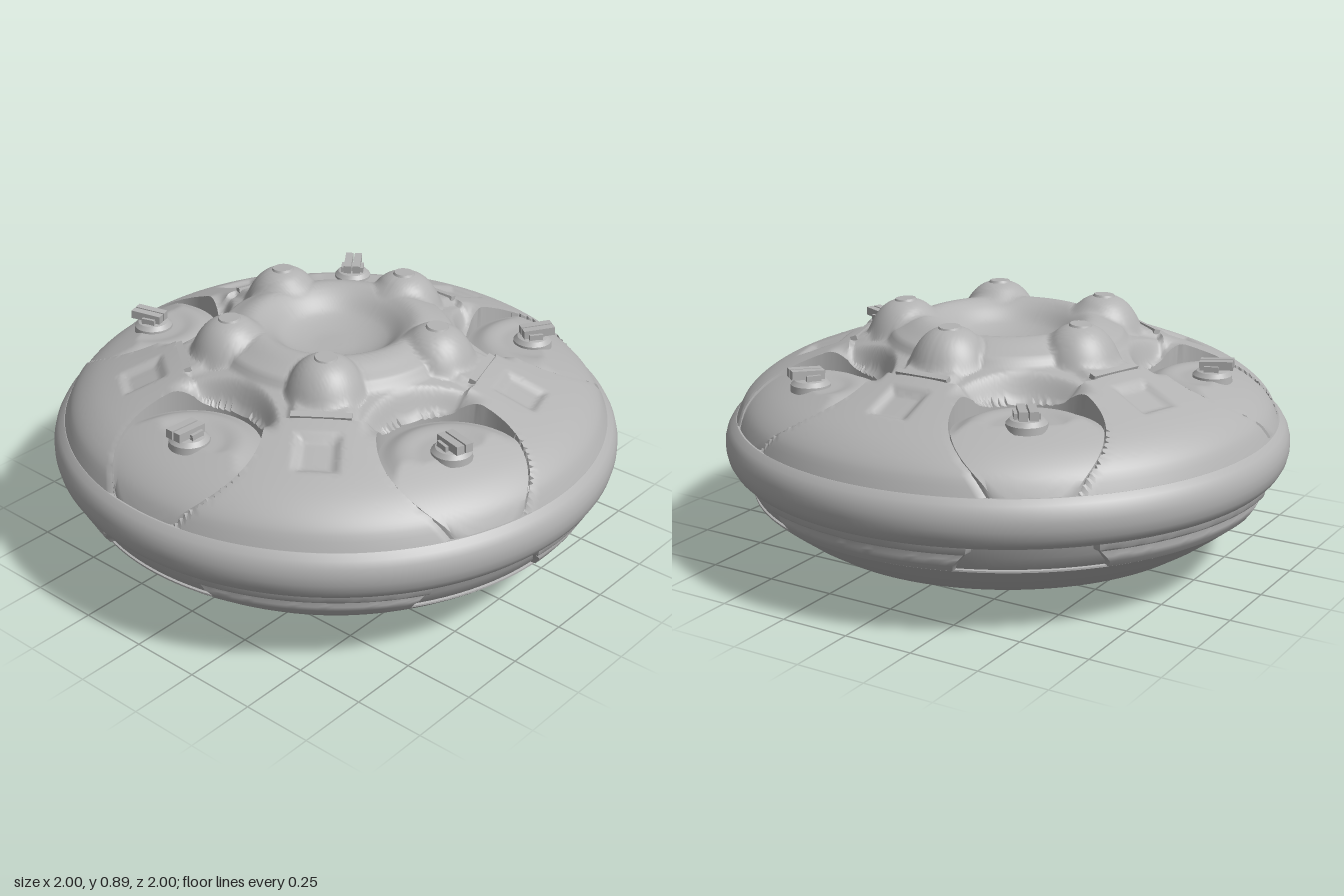
import * as THREE from 'three';
import { toCreasedNormals } from 'three/addons/utils/BufferGeometryUtils.js';

const STEP = Math.PI * 2 / 5;
const POD_R = 0.735, POD_SIZE = 0.248, BUMP_R = 0.37, EDGE_R = 0.958;
const smooth = THREE.MathUtils.smoothstep;
const lerp = THREE.MathUtils.lerp;

// Upper hull height against radius
const PROFILE = [[0, 0.74], [0.1, 0.744], [0.18, 0.768], [0.24, 0.817], [0.28, 0.838], [0.32, 0.835],
  [0.38, 0.808], [0.43, 0.785], [0.54, 0.752], [0.68, 0.70], [0.81, 0.647], [0.88, 0.607], [0.93, 0.56], [0.955, 0.51], [0.965, 0.485]];

function profileHeight(r) {
  const n = PROFILE.length;
  let i = 0;
  while (i < n - 2 && r > PROFILE[i + 1][0]) i++;
  const [x0, y0] = PROFILE[i], [x1, y1] = PROFILE[i + 1];
  const slope = (k) => {
    const a = PROFILE[Math.max(k - 1, 0)], b = PROFILE[Math.min(k + 1, n - 1)];
    return (b[1] - a[1]) / (b[0] - a[0]);
  };
  const h = x1 - x0, t = Math.min((r - x0) / h, 1), t2 = t * t, t3 = t2 * t;
  return (2 * t3 - 3 * t2 + 1) * y0 + (t3 - 2 * t2 + t) * h * slope(i) +
    (3 * t2 - 2 * t3) * y1 + (t3 - t2) * h * slope(i + 1);
}

// Hull surface with bumps, spokes, square dents and pod wells, repeated five times
function hullPoint(r, angle) {
  const a = angle - Math.round(angle / STEP) * STEP;
  const u = r * Math.cos(a), v = Math.abs(r * Math.sin(a));
  let y = profileHeight(r);
  // sunken area between the spokes
  const between = smooth(v, 0.085, 0.12) * smooth(r, 0.40, 0.43) * (1 - smooth(r, 0.545, 0.56));
  y -= 0.022 * between;
  // round bumps, blended softly
  const d = Math.hypot(u - BUMP_R, v);
  const dome = 0.882 - 3 * d * d - 150 * d ** 4;
  const k = THREE.MathUtils.clamp(0.5 + (dome - y) / 0.05, 0, 1);
  if (d < 0.22) y = lerp(y, dome, k) + 0.0125 * k * (1 - k);
  // square dent
  y -= 0.02 * (1 - smooth(Math.max(Math.abs(u - 0.68), v), 0.045, 0.082));
  // crescent slope on the inner side of the pod
  const mid = Math.floor(angle / STEP) * STEP + STEP / 2;
  const cx = POD_R * Math.cos(mid), cz = POD_R * Math.sin(mid);
  let x = r * Math.cos(angle), z = r * Math.sin(angle);
  const pd = Math.hypot(x - cx, z - cz);
  const slopeIn = (1 - smooth(pd, POD_SIZE, 0.305)) * (1 - smooth(r, 0.50, 0.64));
  y = lerp(y, Math.min(y, 0.655), slopeIn);
  // pod well, with nearby points snapped to its circle for a clean edge
  if (Math.abs(pd - POD_SIZE) < 0.012) {
    const f = (pd < POD_SIZE ? POD_SIZE - 0.001 : POD_SIZE + 0.001) / pd;
    x = cx + (x - cx) * f;
    z = cz + (z - cz) * f;
  }
  if (pd < POD_SIZE) y = Math.min(profileHeight(r) - 0.045, 0.6);
  return [x, y, z];
}

// Grid surface from a rule point(s, t) with s, t from 0 to 1
function surface(rows, cols, point) {
  const pos = [], idx = [], w = cols + 1;
  for (let i = 0; i <= rows; i++) for (let j = 0; j <= cols; j++) pos.push(...point(i / rows, j / cols));
  for (let i = 0; i < rows; i++) for (let j = 0; j < cols; j++) {
    const a = i * w + j;
    idx.push(a, a + 1, a + w, a + 1, a + w + 1, a + w);
  }
  const g = new THREE.BufferGeometry();
  g.setAttribute('position', new THREE.Float32BufferAttribute(pos, 3));
  g.setIndex(idx);
  return toCreasedNormals(g, 0.7);
}

const lathe = (pts, segs) =>
  toCreasedNormals(new THREE.LatheGeometry(pts.map(([x, y]) => new THREE.Vector2(x, y)), segs), 0.5);

export function createModel() {
  const model = new THREE.Group();
  model.name = 'saucer';
  const hullGrey = new THREE.MeshStandardMaterial({ color: 0xb2b2b2, side: THREE.DoubleSide });
  hullGrey.name = 'hullGrey';

  function add(parent, name, geometry, x = 0, y = 0, z = 0) {
    const mesh = new THREE.Mesh(geometry, hullGrey);
    mesh.name = name;
    mesh.position.set(x, y, z);
    parent.add(mesh);
    return mesh;
  }
  // Five copies around the axis; +x of each group points outward
  function five(name, offset, build) {
    for (let i = 0; i < 5; i++) {
      const g = new THREE.Group();
      g.name = name;
      g.rotation.y = -(i + offset) * STEP;
      build(g);
      model.add(g);
    }
  }

  add(model, 'upperHull', surface(110, 420, (s, t) => hullPoint(0.0005 + s * 0.962, t * Math.PI * 2)));

  add(model, 'rim', lathe([[0.90, 0.338], [0.965, 0.338], [0.98, 0.352], [0.993, 0.375], [1, 0.405], [1, 0.435],
    [0.993, 0.462], [0.98, 0.485], [0.96, 0.502], [0.93, 0.502]], 128));

  add(model, 'lowerBand', lathe([[0.89, 0.235], [0.905, 0.25], [0.93, 0.295], [0.945, 0.345]], 128));

  add(model, 'underside', lathe([[0.39, 0.088], [0.472, 0.088], [0.48, 0.072], [0.50, 0.07], [0.56, 0.073],
    [0.575, 0.095], [0.585, 0.096], [0.60, 0.09], [0.66, 0.092], [0.73, 0.106], [0.79, 0.144], [0.85, 0.189],
    [0.89, 0.221], [0.908, 0.237], [0.908, 0.243], [0.88, 0.25]], 128));

  add(model, 'bottomRing', lathe([[0, 0.055], [0.285, 0.055], [0.295, 0.04], [0.315, 0.032], [0.345, 0.034],
    [0.37, 0.043], [0.382, 0.055], [0.385, 0.068], [0.39, 0.092]], 96));

  // Small ribs in the groove around the bottom ring
  for (let i = 0; i < 40; i++) {
    const a = i / 40 * Math.PI * 2;
    const rib = add(model, 'grooveRib', new THREE.BoxGeometry(0.08, 0.014, 0.026), 0.432 * Math.cos(a), 0.084, 0.432 * Math.sin(a));
    rib.rotation.y = -a;
  }
  const hub = add(model, 'bottomHub', new THREE.CylinderGeometry(0.15, 0.135, 0.014, 5), 0, 0.05, 0);
  hub.rotation.y = Math.PI / 2 + STEP / 2;

  // Armour plates below the rim, tapered towards the bottom
  const plate = [[0.966, 0.34], [0.961, 0.318], [0.957, 0.312], [0.943, 0.306], [0.941, 0.29], [0.942, 0.284],
    [0.93, 0.262], [0.914, 0.24]];
  five('lowerPlate', 0, (g) => add(g, 'plate', surface(plate.length - 1, 30, (s, t) => {
    const [r0, y] = plate[Math.round(s * (plate.length - 1))];
    const end = t === 0 || t === 1;
    const half = 0.38 + 0.06 * smooth(y, 0.25, 0.33);
    const a = (1 - 2 * t) * half, r = end ? r0 - 0.045 : r0;
    return [r * Math.cos(a), y, r * Math.sin(a)];
  })));

  // Sunken pods that follow the hull on their outer side
  five('pod', 0.5, (g) => {
    add(g, 'podCover', surface(20, 72, (s, t) => {
      const skirt = s === 1;
      const d = skirt ? POD_SIZE - 0.004 : 0.0005 + (s / 0.95) * (POD_SIZE - 0.005);
      const a = t * Math.PI * 2, x = POD_R + d * Math.cos(a), z = d * Math.sin(a);
      const r = Math.hypot(x, z), f = Math.min(1, EDGE_R / r);
      const flat = 0.666 + 0.008 * smooth(d, 0.11, 0.16) - 0.028 * smooth(d, 0.17, 0.25);
      const y = Math.min(flat, profileHeight(r * f) - 0.01);
      return [x * f, skirt ? y - 0.04 : y, z * f];
    }));
    add(g, 'turretBase', lathe([[0, 0.697], [0.03, 0.695], [0.055, 0.688], [0.068, 0.674], [0.07, 0.65]], 28), POD_R - 0.01);
    for (const side of [-1, 1]) {
      const barrel = add(g, 'turretBarrel', new THREE.BoxGeometry(0.115, 0.03, 0.028), POD_R + 0.005, 0.711, side * 0.017);
      barrel.rotation.z = 0.05;
    }
    add(g, 'turretPivot', new THREE.BoxGeometry(0.05, 0.03, 0.085), POD_R - 0.01, 0.695, 0);
  });

  // Bump caps, panel edge bars and feet
  five('spoke', 0, (g) => {
    const cap = add(g, 'bumpCap', new THREE.CylinderGeometry(0.036, 0.04, 0.008, 24), BUMP_R + 0.004, 0.88, 0);
    cap.rotation.z = -0.06;
    const bar = add(g, 'panelBar', new THREE.BoxGeometry(0.024, 0.018, 0.2), 0.538, 0.75, 0);
    bar.rotation.z = -0.3;
  });
  const foot = lathe([[0, 0], [0.025, 0.002], [0.042, 0.01], [0.052, 0.024], [0.056, 0.032], [0.064, 0.02],
    [0.076, 0.02], [0.086, 0.032], [0.088, 0.056]], 32);
  five('foot', 0, (g) => {
    add(g, 'footPad', foot, 0.198);
    for (const side of [-1, 1]) {
      const brace = add(g, 'footBrace', new THREE.BoxGeometry(0.12, 0.012, 0.02),
        0.235 * Math.cos(STEP / 2 + side * 0.12), 0.052, 0.235 * Math.sin(STEP / 2 + side * 0.12));
      brace.rotation.y = -STEP / 2;
    }
  });
  return model;
}
